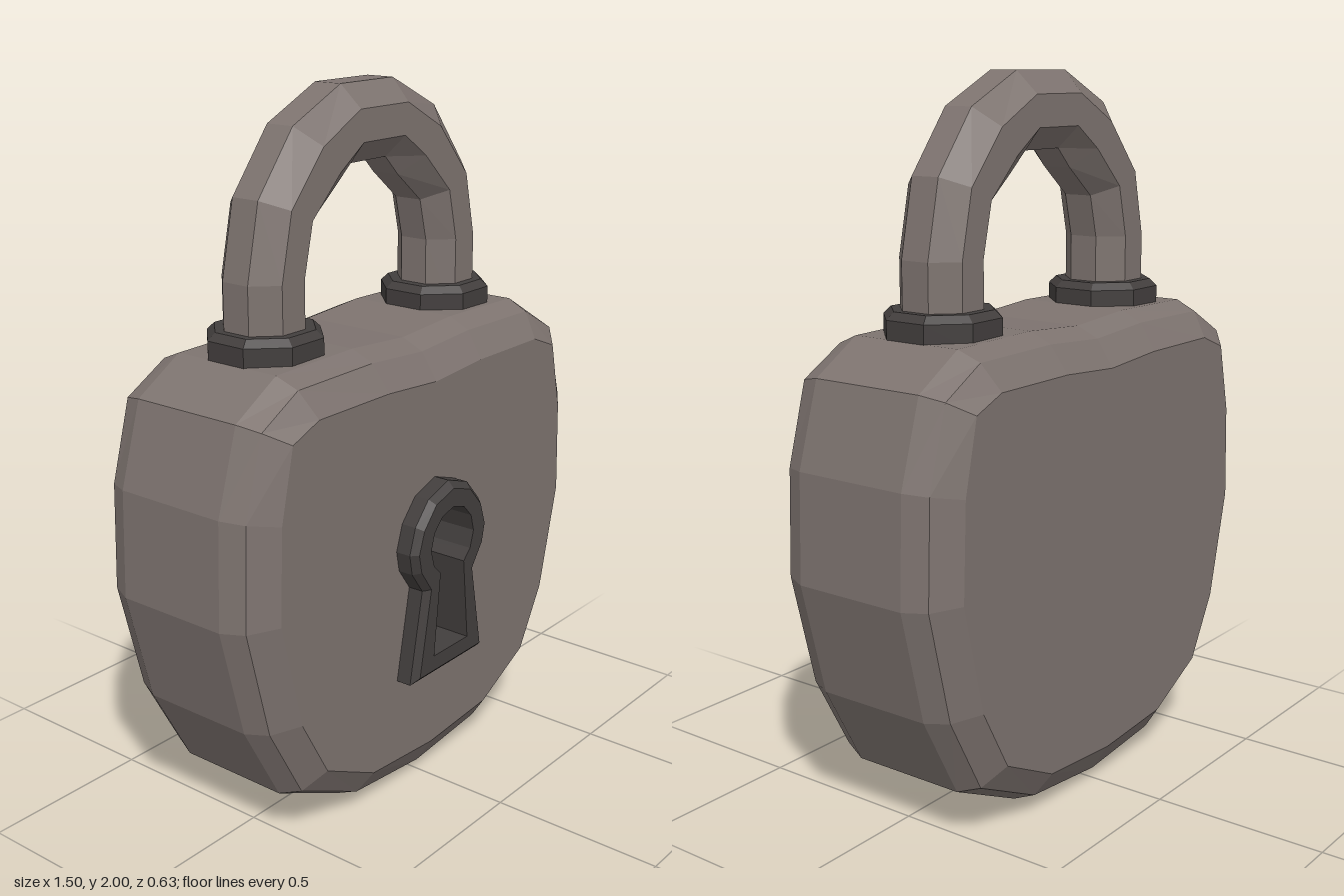
import * as THREE from 'three';
import { mergeGeometries } from 'three/addons/utils/BufferGeometryUtils.js';

const MID_Z = -0.035;

// Complete a right-half outline (bottom to top) into a counter-clockwise loop
function mirrorLoop(half) {
  const left = half.filter(p => p[0] > 0).reverse().map(([x, y]) => [-x, y]);
  return [...half, ...left];
}

const atZ = (loop, z) => loop.map(([x, y]) => new THREE.Vector3(x, y, z));
const blend = (a, b, t) => a.map((p, i) => [p[0] + (b[i][0] - p[0]) * t, p[1] + (b[i][1] - p[1]) * t]);

// Skin a series of closed rings
function loft(rings) {
  const pts = [];
  for (let r = 0; r + 1 < rings.length; r++) {
    const a = rings[r], b = rings[r + 1], n = a.length;
    for (let i = 0; i < n; i++) {
      const j = (i + 1) % n;
      pts.push(a[i], b[i], b[j], a[i], b[j], a[j]);
    }
  }
  const geo = new THREE.BufferGeometry().setFromPoints(pts);
  geo.computeVertexNormals();
  return geo;
}

// Flat cap facing +z, optionally pierced
function cap(loop, z, hole) {
  const toV2 = l => l.map(([x, y]) => new THREE.Vector2(x, y));
  const shape = new THREE.Shape(toV2(loop));
  if (hole) shape.holes.push(new THREE.Path(toV2(hole)));
  const geo = new THREE.ShapeGeometry(shape).toNonIndexed();
  geo.deleteAttribute('uv');
  return geo.translate(0, 0, z);
}

export function createModel() {
  const group = new THREE.Group();
  const metal = new THREE.MeshStandardMaterial({ color: 0x7d736f, flatShading: true });
  metal.name = 'warm grey metal';
  const dark = new THREE.MeshStandardMaterial({ color: 0x423e3d, flatShading: true });
  dark.name = 'dark metal';

  const add = (name, geo, mat) => {
    const mesh = new THREE.Mesh(geo, mat);
    mesh.name = name;
    group.add(mesh);
    return mesh;
  };

  // Keyhole outlines: raised rim and opening
  const rim = mirrorLoop([[0, 0.375], [0.165, 0.375], [0.113, 0.645], [0.16, 0.71], [0.172, 0.77],
    [0.148, 0.845], [0.09, 0.91], [0, 0.94]]);
  const rimFront = mirrorLoop([[0, 0.395], [0.145, 0.395], [0.097, 0.65], [0.143, 0.715], [0.155, 0.77],
    [0.133, 0.835], [0.08, 0.895], [0, 0.92]]);
  const opening = mirrorLoop([[0, 0.44], [0.08, 0.44], [0.055, 0.685], [0.085, 0.715], [0.1, 0.765],
    [0.086, 0.815], [0.05, 0.852], [0, 0.866]]);

  // Body with two-step bevel front and back
  const outline = mirrorLoop([[0, 0], [0.29, 0.03], [0.54, 0.15], [0.67, 0.39], [0.75, 0.71],
    [0.74, 1.01], [0.67, 1.24], [0.52, 1.33], [0.22, 1.335], [0, 1.32]]);
  const face = mirrorLoop([[0, 0.11], [0.27, 0.13], [0.47, 0.23], [0.57, 0.41], [0.645, 0.72],
    [0.635, 0.99], [0.59, 1.19], [0.49, 1.23], [0.21, 1.23], [0, 1.215]]);
  const shoulder = blend(outline, face, 0.28);
  const sides = loft([
    atZ(face, 0.25), atZ(shoulder, 0.2), atZ(outline, 0.135),
    atZ(outline, -0.205), atZ(shoulder, -0.27), atZ(face, -0.32),
  ]);
  const front = cap(face, 0.25, blend(opening, rim, 0.3));
  const back = cap(face, 0.32).rotateY(Math.PI);
  add('body', mergeGeometries([sides, front, back]), metal);

  // Keyhole plate with deep recess
  const plate = loft([
    atZ(opening, 0.03), atZ(opening, 0.315), atZ(rimFront, 0.315), atZ(rim, 0.295), atZ(rim, 0.24),
  ]);
  add('keyholePlate', mergeGeometries([plate, cap(opening, 0.03)]), dark);

  // Shackle: octagonal sections between outer and inner arch points
  const arch = [
    [0.48, 1.31, 0.27, 1.31], [0.48, 1.53, 0.27, 1.53], [0.435, 1.74, 0.24, 1.65],
    [0.3, 1.91, 0.135, 1.735], [0.11, 2, 0.08, 1.79],
  ];
  const stations = [...arch, ...arch.slice().reverse().map(([a, b, c, d]) => [-a, b, -c, d])];
  const k = 1 / Math.cos(Math.PI / 8);
  const rings = stations.map(([ox, oy, ix, iy]) => Array.from({ length: 8 }, (_, i) => {
    const t = (i + 0.5) * Math.PI / 4, c = Math.cos(t) * k / 2;
    return new THREE.Vector3((ox + ix) / 2 + (ox - ix) * c, (oy + iy) / 2 + (oy - iy) * c,
      MID_Z + 0.105 * k * Math.sin(t));
  }));
  add('shackle', loft(rings), metal);

  // Octagonal collars at the shackle feet
  const profile = [[0, 1.31], [0.15, 1.31], [0.15, 1.38], [0.13, 1.4], [0, 1.4]]
    .map(([r, y]) => new THREE.Vector2(r * k, y));
  for (const [name, s] of [['leftCollar', 1], ['rightCollar', -1]]) {
    const collar = add(name, new THREE.LatheGeometry(profile, 8, Math.PI / 8), dark);
    collar.position.set(s * 0.372, 0, MID_Z);
  }

  return group;
}
